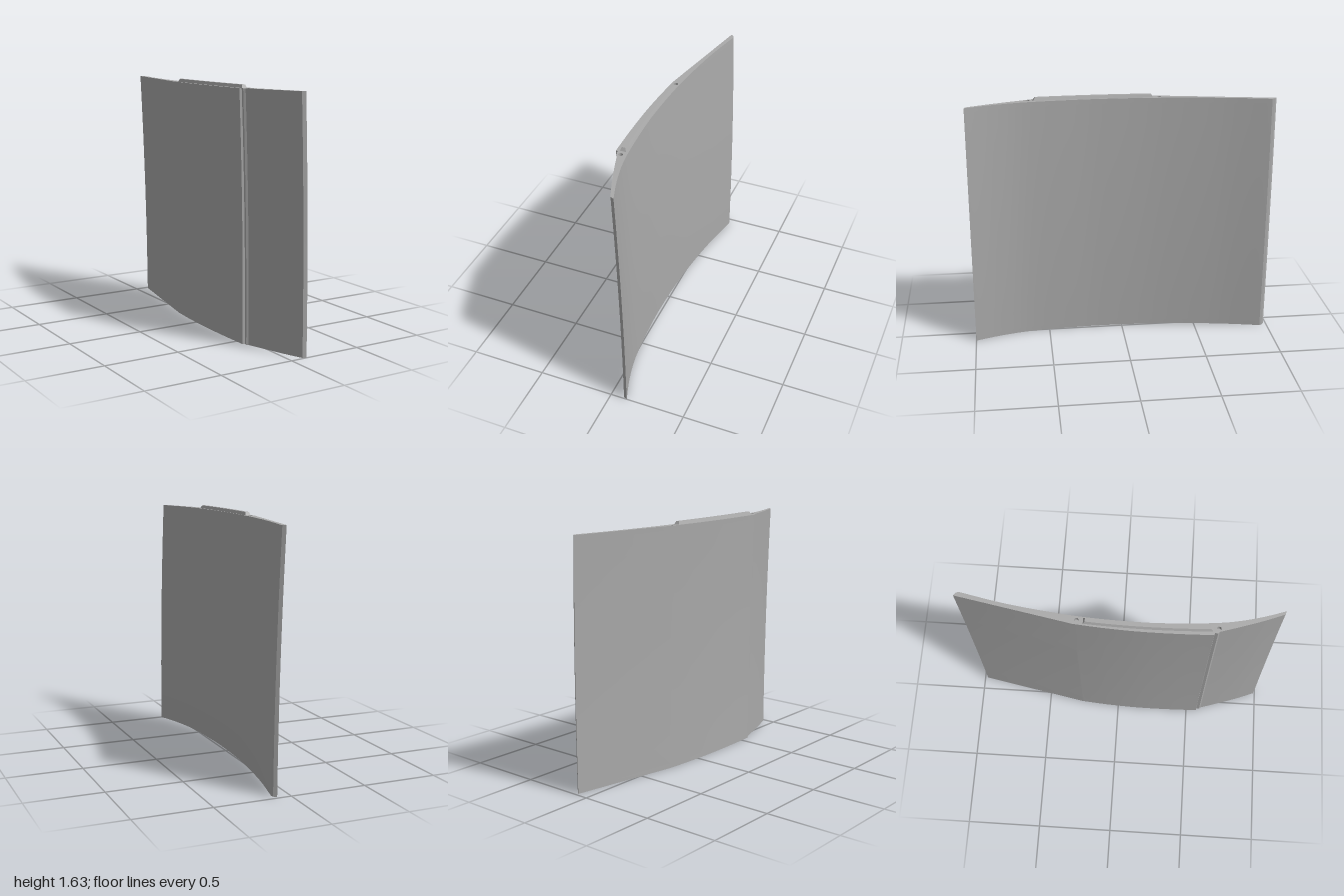
import * as THREE from 'three';
import { toCreasedNormals } from 'three/addons/utils/BufferGeometryUtils.js';

const H = 1.61, RECESS = 0.03;
const v = (x, z) => new THREE.Vector2(x, -z); // plan coordinates, shape y = -z

// Plan outline of the curved panel at its top edge
function outline() {
  const s = new THREE.Shape();
  const line = (...pts) => pts.forEach(([x, z]) => s.lineTo(x, -z));
  const curve = (...pts) => s.splineThru(pts.map(([x, z]) => v(x, z)));
  s.moveTo(0.05, 1);
  line([-0.088, 0.27].map((n, i) => (i ? -n : n)).map((n) => n)); // placeholder replaced below
  s.curves.length = 0;
  s.currentPoint.set(0.05, 1);
  line([-0.088, -0.27]);
  curve([-0.103, -0.08], [-0.112, 0.13], [-0.112, 0.35], [-0.106, 0.572]);
  line([-0.092, 0.576], [-0.094, 0.595], [-0.083, 0.605]); // vertical step
  curve([-0.04, 0.74], [0.005, 0.87], [0.052, 0.99]);
  line([0.075, 1]);
  curve([0.02, 0.83], [-0.022, 0.63], [-0.045, 0.35], [-0.051, 0.1], [-0.036, -0.25], [0.012, -0.65], [0.075, -0.968]);
  line([0.07, -0.985], [0.05, -1]);
  return s;
}

// Curved strip shared by the top tongue and the bottom groove
const Z0 = -0.21, Z1 = 0.565, ZM = (Z0 + Z1) / 2;
const stripX = (z) => -0.076 + 0.012 * ((z - ZM) / (Z1 - ZM)) ** 2;
function stripPoints(halfWidth) {
  const a = [], b = [];
  for (let i = 0; i <= 16; i++) {
    const z = Z0 + (Z1 - Z0) * i / 16;
    a.push(v(stripX(z) - halfWidth, z));
    b.unshift(v(stripX(z) + halfWidth, z));
  }
  return a.concat(b);
}

const circle = (x, z) => new THREE.Path().absarc(x, -z, 0.014, 0, Math.PI * 2, true);
const pinHoles = () => [circle(-0.062, -0.25), circle(-0.064, 0.6)];

// Lean of the panel: it bows outwards and lengthens slightly towards the top
function bend(geo) {
  const p = geo.attributes.position;
  for (let i = 0; i < p.count; i++) {
    const t = Math.min(p.getY(i) / H, 1), z = p.getZ(i);
    p.setX(i, p.getX(i) + 0.035 * (1 - t * t));
    if (z < 0) p.setZ(i, z * (1 - 0.018 * (1 - t)));
  }
  return toCreasedNormals(geo, 0.3);
}

// Extrude a plan shape upwards from y0 to y1
function layer(shape, y0, y1, steps) {
  const geo = new THREE.ExtrudeGeometry(shape, { depth: y1 - y0, steps, bevelEnabled: false, curveSegments: 10 });
  return geo.rotateX(-Math.PI / 2).translate(0, y0, 0);
}

export function createModel() {
  const group = new THREE.Group();
  const grey = new THREE.MeshStandardMaterial({ color: 0xaaaaaa });
  grey.name = 'plain grey';
  const add = (name, geo) => {
    const mesh = new THREE.Mesh(geo, grey);
    mesh.name = name;
    group.add(mesh);
  };

  // Bottom layer with groove and pin holes
  const bottom = outline();
  bottom.holes.push(...pinHoles(), new THREE.Path(stripPoints(0.019)));
  add('groovedBottomEdge', bend(layer(bottom, 0, RECESS, 1)));

  // Main curved panel
  add('curvedPanel', bend(layer(outline(), RECESS, H - RECESS, 12)));

  // Top layer with pin holes
  const top = outline();
  top.holes.push(...pinHoles());
  add('topEdge', bend(layer(top, H - RECESS, H, 1)));

  // Tongue with sloping sides
  const tongue = layer(new THREE.Shape(stripPoints(0.019)), H, H + 0.02, 1);
  const p = tongue.attributes.position;
  for (let i = 0; i < p.count; i++) {
    if (p.getY(i) < H + 0.01) continue;
    const z = p.getZ(i), c = stripX(z), z2 = ZM + (z - ZM) * 0.97;
    p.setXYZ(i, stripX(z2) + (p.getX(i) - c) * 0.6, p.getY(i), z2);
  }
  add('topTongue', bend(tongue));
  return group;
}
